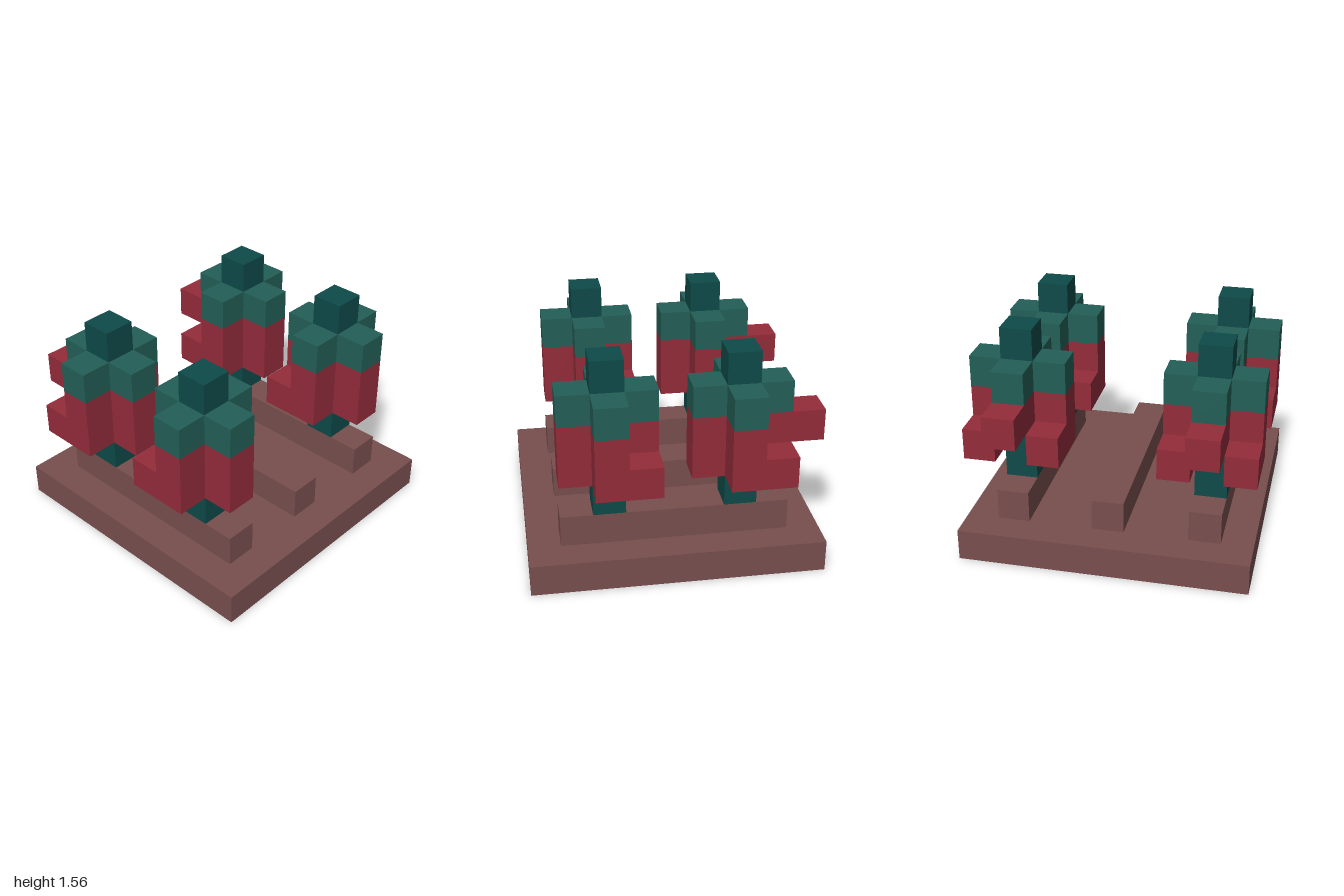
import * as THREE from 'three';

const U = 2 / 9; // one block

const soil = new THREE.MeshStandardMaterial({ color: 0x784f4e });
soil.name = 'soil brown';
const red = new THREE.MeshStandardMaterial({ color: 0x942c3a });
red.name = 'petal red';
const green = new THREE.MeshStandardMaterial({ color: 0x235f57 });
green.name = 'leaf green';
const teal = new THREE.MeshStandardMaterial({ color: 0x0d4a49 });
teal.name = 'stem teal';

// Box in block units: centre x and z, bottom y, then size
function block(parent, name, material, [x, y, z], [w, h, d]) {
  const mesh = new THREE.Mesh(new THREE.BoxGeometry(w * U, h * U, d * U), material);
  mesh.position.set(x * U, (y + h / 2) * U, z * U);
  mesh.name = name;
  parent.add(mesh);
}

function createPlant(hasTail) {
  const plant = new THREE.Group();
  plant.name = 'plant';
  block(plant, 'stem', teal, [0, 2, 0], [1, 5, 1]);

  // Red arms at the sides and front, two blocks tall; the back one is short
  for (const [x, z] of [[-1, 0], [1, 0], [0, 1]]) {
    block(plant, 'petal', red, [x, 3, z], [1, 2, 1]);
  }
  const backDepth = hasTail ? 2 : 1;
  block(plant, 'backPetal', red, [0, 4, -0.5 - backDepth / 2], [1, 1, backDepth]);

  // Low blocks at the back corners
  for (const x of [-1, 1]) block(plant, 'cornerPetal', red, [x, 3, -1], [1, 1, 1]);

  // Green cross above the red
  for (const [x, z] of [[-1, 0], [1, 0], [0, 1], [0, -1]]) {
    block(plant, 'leaf', green, [x, 5, z], [1, 1, 1]);
  }
  return plant;
}

export function createModel() {
  const model = new THREE.Group();
  model.name = 'plantBed';

  // Bed with three raised rows
  block(model, 'base', soil, [0, 0, 0], [9, 1, 9]);
  for (const x of [-3, 0, 3]) block(model, 'ridge', soil, [x, 1, 0], [1, 1, 7]);

  // Four plants on the outer rows
  for (const x of [-3, 3]) {
    for (const z of [-2, 2]) {
      const plant = createPlant(z < 0);
      plant.position.set(x * U, 0, z * U);
      model.add(plant);
    }
  }
  return model;
}
